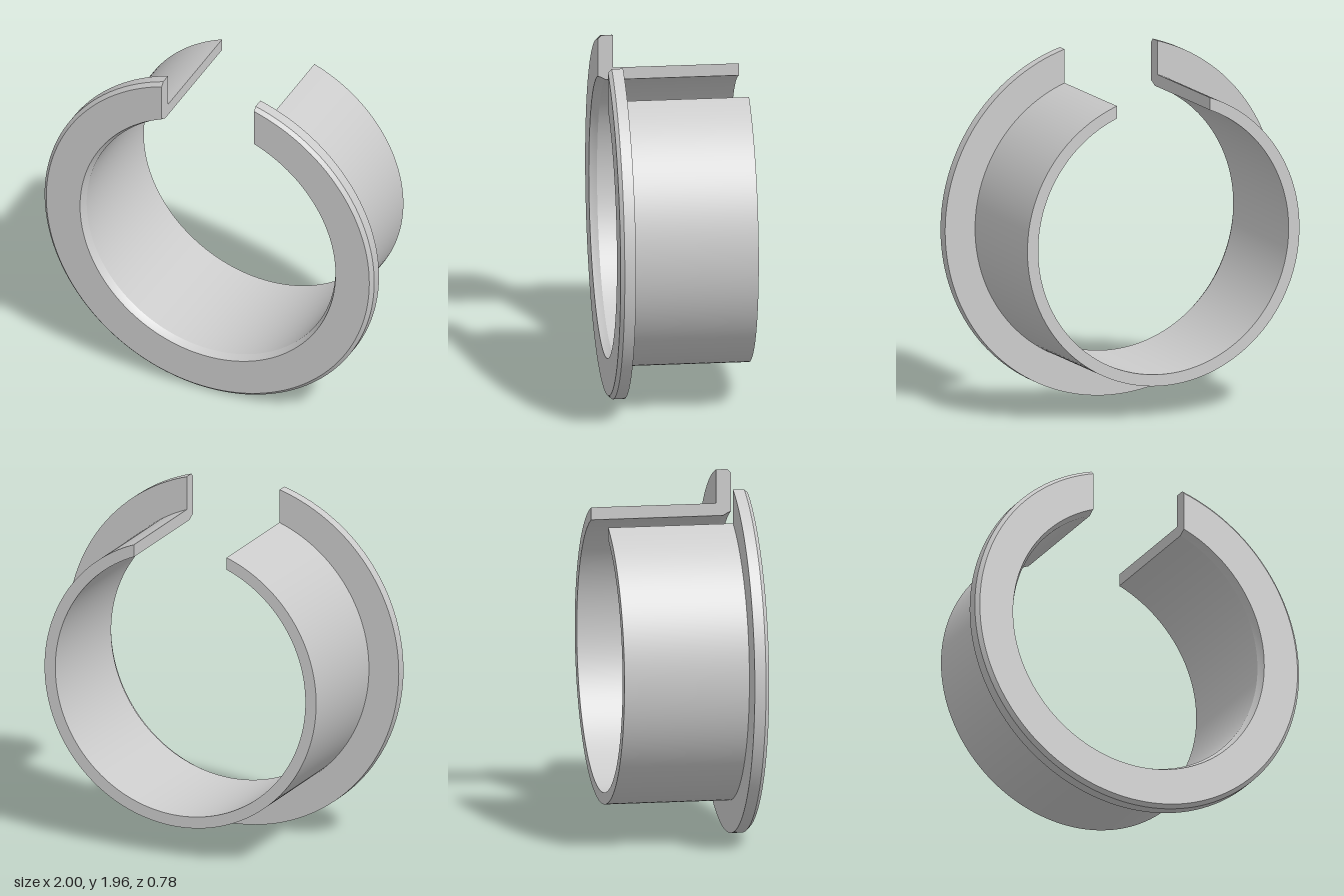
import * as THREE from 'three';
import { toCreasedNormals } from 'three/addons/utils/BufferGeometryUtils.js';

const SEGMENTS = 128;
const HALF_GAP = 0.28; // the slot has parallel walls at x = +-HALF_GAP

// Cross-section as [radius, z]: back rim, sleeve, chamfered flange, bevelled bore
const PROFILE = [
  [0.82, -0.39], [0.82, 0.305], [1, 0.305], [1, 0.367], [0.98, 0.388],
  [0.775, 0.388], [0.77, 0.372], [0.755, 0.345], [0.755, -0.39],
];

// Point of the swept section; each radius starts where it meets the slot wall
function sweepPoint([r, z], t) {
  const start = Math.asin(HALF_GAP / r);
  const a = start + t * 2 * (Math.PI - start);
  return [r * Math.sin(a), 1 + r * Math.cos(a), z];
}

function slottedRing() {
  const pos = [];
  // swept walls
  PROFILE.forEach((p, j) => {
    const q = PROFILE[(j + 1) % PROFILE.length];
    for (let i = 0; i < SEGMENTS; i++) {
      const t0 = i / SEGMENTS, t1 = (i + 1) / SEGMENTS;
      const a = sweepPoint(p, t0), b = sweepPoint(q, t0);
      const c = sweepPoint(q, t1), d = sweepPoint(p, t1);
      pos.push(...a, ...b, ...d, ...b, ...c, ...d);
    }
  });
  // flat end faces on both sides of the slot
  const outline = PROFILE.map(([r, z]) => new THREE.Vector2(z, Math.sqrt(r * r - HALF_GAP * HALF_GAP)));
  for (const face of THREE.ShapeUtils.triangulateShape(outline, [])) {
    const ccw = THREE.ShapeUtils.area(face.map((k) => outline[k])) > 0;
    const [a, b, c] = ccw ? face : [...face].reverse();
    for (const k of [a, b, c]) pos.push(...sweepPoint(PROFILE[k], 0));
    for (const k of [c, b, a]) pos.push(...sweepPoint(PROFILE[k], 1));
  }
  const geometry = new THREE.BufferGeometry();
  geometry.setAttribute('position', new THREE.Float32BufferAttribute(pos, 3));
  return toCreasedNormals(geometry, 0.25);
}

export function createModel() {
  const group = new THREE.Group();
  group.name = 'splitFlangedBushing';
  const ring = new THREE.Mesh(slottedRing(), new THREE.MeshStandardMaterial({ color: 0xcccccc }));
  ring.name = 'flangedSleeve';
  group.add(ring);
  return group;
}
